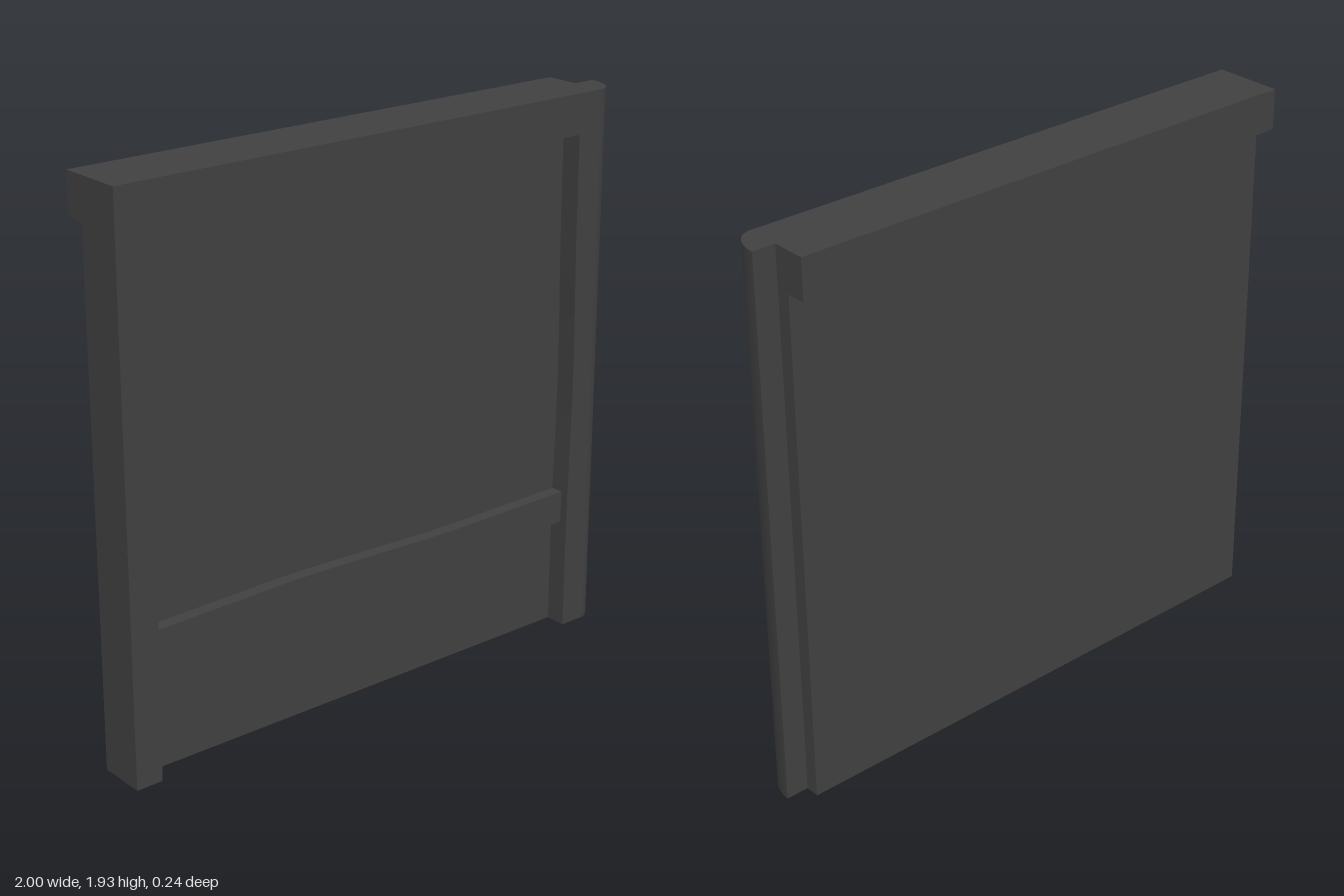
import * as THREE from 'three';
import { toCreasedNormals } from 'three/addons/utils/BufferGeometryUtils.js';

const H = 1.93, BACK = -0.12, FRONT = 0.12;
const PANEL_BACK = -0.05, PANEL_FRONT = 0.045;
const LEFT = -1, RIGHT = 0.92;            // ends of the flat slab
const IN_L = -0.905, IN_R = 0.83;         // edges of the recessed field
const RAIL_Y = 1.79;

const material = new THREE.MeshStandardMaterial({ color: 0x404040 });

// Gently wavering edge: a smooth curve through a few points
const wavy = (pts, n = 24) =>
  new THREE.SplineCurve(pts.map(p => new THREE.Vector2(...p))).getPoints(n);

function part(name, outline, z0, z1) {
  const shape = new THREE.Shape(outline.map(p => (p.isVector2 ? p : new THREE.Vector2(...p))));
  const geo = new THREE.ExtrudeGeometry(shape, { depth: z1 - z0, bevelEnabled: false });
  geo.translate(0, 0, z0);
  const mesh = new THREE.Mesh(toCreasedNormals(geo, Math.PI / 6), material);
  mesh.name = name;
  return mesh;
}

export function createModel() {
  const group = new THREE.Group();
  group.name = 'panel';

  // Flat slab behind the frame
  group.add(part('backPanel',
    [[LEFT, 0], [RIGHT, 0], [RIGHT, 1.8], [LEFT, 1.8]], PANEL_BACK, PANEL_FRONT));

  // Top rail overhanging the back, with a wavering lower edge
  group.add(part('topRail', [
    [LEFT, RAIL_Y],
    ...wavy([[IN_L, RAIL_Y], [-0.62, 1.782], [-0.3, 1.778], [0, 1.788], [0.27, 1.797], [0.55, 1.793], [IN_R, RAIL_Y]]),
    [RIGHT, RAIL_Y], [RIGHT, H], [LEFT, H],
  ], BACK, FRONT));

  // Stiles with wavering inner edges
  group.add(part('rightStile', [
    [LEFT, 0],
    ...wavy([[IN_L, 0], [-0.902, 0.3], [-0.9, 0.5], [-0.893, 0.93], [-0.904, 1.35], [IN_L, RAIL_Y]]),
    [LEFT, RAIL_Y],
  ], PANEL_FRONT, FRONT));
  group.add(part('leftStile', [
    [RIGHT, 0], [RIGHT, RAIL_Y],
    ...wavy([[IN_R, RAIL_Y], [0.832, 1.4], [0.84, 0.95], [0.832, 0.5], [IN_R, 0.25], [IN_R, 0]]),
  ], PANEL_FRONT, FRONT));

  // Cross bar
  group.add(part('crossBar', [
    [-0.92, 0.39], [0.85, 0.39],
    ...wavy([[0.85, 0.505], [0.6, 0.502], [0.27, 0.499], [0, 0.507], [-0.33, 0.515], [-0.62, 0.51], [-0.92, 0.503]]),
  ], PANEL_FRONT - 0.01, 0.09));

  // Rounded edge strip, a quarter oval swept upwards
  const quarter = [];
  for (let i = 0; i <= 20; i++) {
    const a = (i / 20) * Math.PI / 2;
    quarter.push([RIGHT + 0.08 * Math.cos(a), -0.12 * Math.sin(a)]);
  }
  const edge = part('roundedEdge', [[RIGHT, 0], ...quarter], 0, H);
  edge.rotation.x = -Math.PI / 2;
  group.add(edge);

  return group;
}
